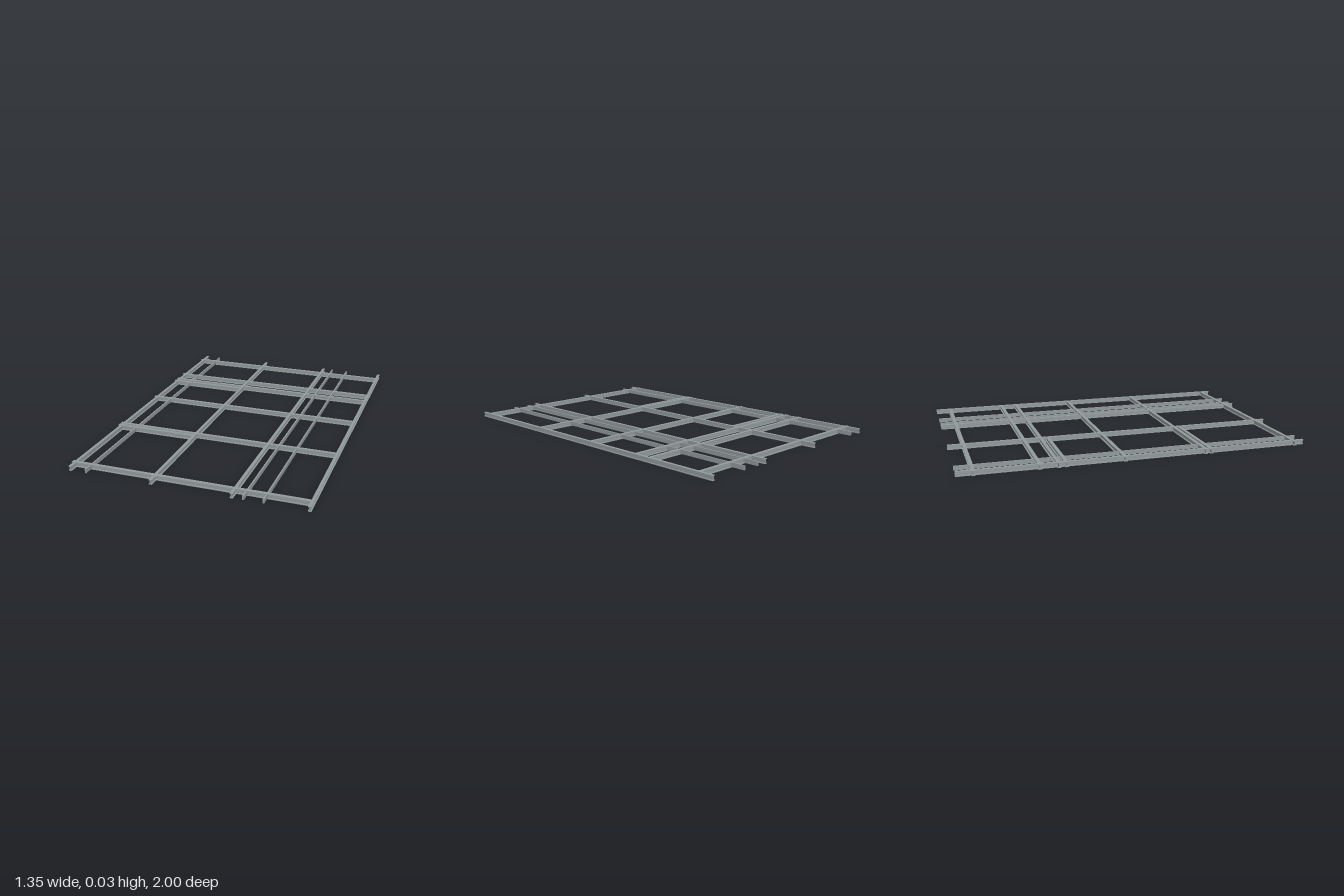
import * as THREE from 'three';

const HEIGHT = 0.028;
const FLANGE = 0.004;
const WEB = 0.005;

// I-shaped cross-section standing on y = 0
function iSection(width) {
  const w = width / 2, t = WEB / 2, h = HEIGHT, f = FLANGE;
  return new THREE.Shape([
    [-w, 0], [w, 0], [w, f], [t, f], [t, h - f], [w, h - f],
    [w, h], [-w, h], [-w, h - f], [-t, h - f], [-t, f], [-w, f],
  ].map(([x, y]) => new THREE.Vector2(x, y)));
}

// I-beam along z, centred on its length
function iBeam(width, length) {
  const geometry = new THREE.ExtrudeGeometry(iSection(width), { depth: length, bevelEnabled: false });
  return geometry.translate(0, 0, -length / 2);
}

export function createModel() {
  const model = new THREE.Group();
  model.name = 'floorFrame';
  const steel = new THREE.MeshStandardMaterial({ color: 0x929a9b });
  steel.name = 'greySteel';

  const add = (name, geometry, x, y, z) => {
    const mesh = new THREE.Mesh(geometry, steel);
    mesh.name = name;
    mesh.position.set(x, y, z);
    model.add(mesh);
    return mesh;
  };

  // Main beams running front to back
  for (const x of [-0.657, -0.183, 0.262, 0.665]) {
    add('mainBeam', iBeam(0.018, 2), x, 0, 0);
  }

  // Slim joists running front to back
  for (const x of [-0.563, 0.325, 0.431]) {
    add('joist', new THREE.BoxGeometry(0.008, 0.024, 2), x, 0.014, 0);
  }

  // Cross beams: full width, then two short ones at the left bay
  const crossBeam = (name, z, x0, x1) => {
    const beam = add(name, iBeam(0.021, x1 - x0), (x0 + x1) / 2, 0, z);
    beam.rotation.y = Math.PI / 2;
  };
  for (const z of [-0.908, -0.561, -0.46, -0.091, 0.381, 0.938]) {
    crossBeam('crossBeam', z, -0.677, 0.664);
  }
  for (const z of [-0.418, 0.413]) {
    crossBeam('shortCrossBeam', z, -0.677, -0.185);
  }

  return model;
}
